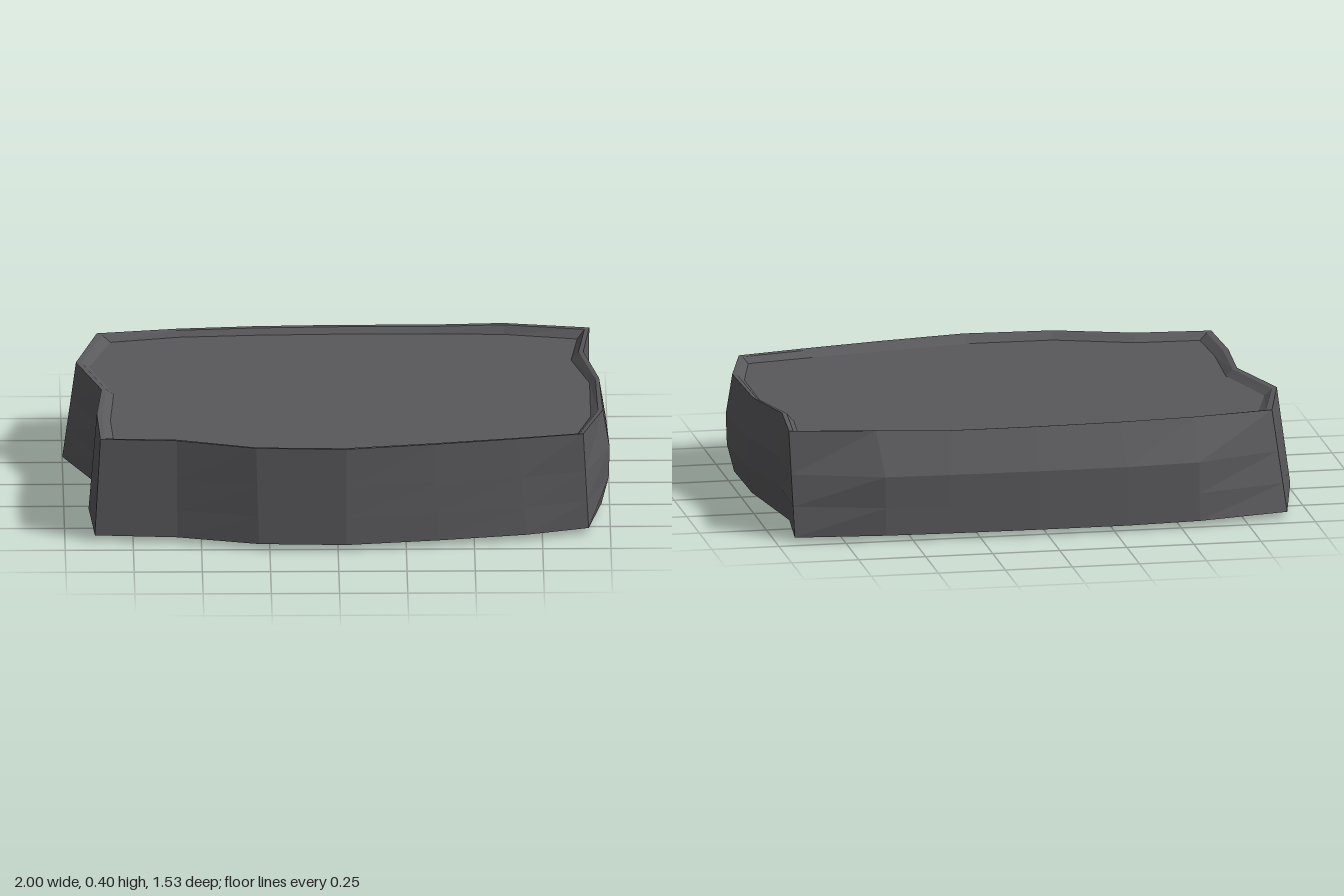
import * as THREE from 'three';

// Outlines as [x, z], counter-clockwise from above, starting at the front right corner of the model.
const base = [
  [-0.89, 0.645], [-0.59, 0.67], [-0.29, 0.75], [0.03, 0.765], [0.37, 0.715], [0.69, 0.655], [0.92, 0.58],
  [0.97, 0.3], [0.96, 0], [0.89, -0.37],
  [0.93, -0.69], [0.6, -0.75], [0.36, -0.76], [0.03, -0.765], [-0.3, -0.765], [-0.57, -0.745], [-0.91, -0.67],
  [-1, -0.25], [-0.88, 0.05], [-0.91, 0.34],
];
const rim = [
  [-0.87, 0.625], [-0.59, 0.645], [-0.3, 0.735], [0.03, 0.75], [0.36, 0.695], [0.66, 0.635], [0.9, 0.58],
  [0.975, 0.31], [0.965, -0.05], [0.91, -0.33],
  [0.935, -0.6], [0.62, -0.655], [0.34, -0.665], [0.03, -0.667], [-0.29, -0.655], [-0.57, -0.63], [-0.87, -0.58],
  [-0.95, -0.25], [-0.86, 0.06], [-0.88, 0.34],
];
const inner = [
  [-0.82, 0.585], [-0.58, 0.595], [-0.29, 0.69], [0.03, 0.695], [0.35, 0.643], [0.63, 0.595], [0.87, 0.55],
  [0.93, 0.31], [0.93, -0.07], [0.865, -0.33],
  [0.89, -0.57], [0.62, -0.625], [0.34, -0.634], [0.03, -0.635], [-0.29, -0.625], [-0.57, -0.605], [-0.82, -0.55],
  [-0.9, -0.27], [-0.815, 0.04], [-0.83, 0.34],
];
const N = base.length;
const isBack = (i) => i > 10 && i < 16;
const isRight = (i) => i > 6 && i < 10;

// One ring blended between two outlines, with height given per corner
function ring(a, b, t, height, bulge = 0) {
  return a.map(([x, z], i) => {
    const k = typeof t === 'function' ? t(i) : t;
    return [x + (b[i][0] - x) * k + (isRight(i) ? bulge : 0), height(i), z + (b[i][1] - z) * k];
  });
}

// Flat-shaded skin through successive rings
function skin(rings) {
  const p = [];
  for (let r = 0; r + 1 < rings.length; r++) {
    for (let i = 0; i < N; i++) {
      const j = (i + 1) % N, lo = rings[r], hi = rings[r + 1];
      p.push(...lo[i], ...lo[j], ...hi[j], ...lo[i], ...hi[j], ...hi[i]);
    }
  }
  return p;
}

// Fan closing a ring from its middle
function cap(r, y, up) {
  const p = [];
  for (let i = 0; i < N; i++) {
    const a = r[i], b = r[(i + 1) % N];
    p.push(0, y, 0, ...(up ? a : b), ...(up ? b : a));
  }
  return p;
}

export function createModel() {
  const group = new THREE.Group();
  group.name = 'stoneSlab';
  const stone = new THREE.MeshStandardMaterial({ color: 0x59595c, flatShading: true });
  stone.name = 'dark grey stone';

  const add = (name, positions) => {
    const g = new THREE.BufferGeometry();
    g.setAttribute('position', new THREE.Float32BufferAttribute(positions, 3));
    g.computeVertexNormals();
    const mesh = new THREE.Mesh(g, stone);
    mesh.name = name;
    group.add(mesh);
  };

  const topY = (i) => (i > 8 && i < 12 ? 0.396 : 0.387);
  const bottom = ring(base, rim, 0, (i) => (i === 9 ? 0 : i === 8 || i === 10 ? 0.015 : 0.022));
  // The back stays upright until halfway, then bevels in to the rim
  const low = ring(base, rim, (i) => (isBack(i) ? 0.05 : 0.28), () => 0.125, 0.025);
  const mid = ring(base, rim, (i) => (isBack(i) ? 0.1 : 0.6), () => 0.24, 0.027);
  const top = ring(base, rim, 1, topY);
  const lip = ring(rim, inner, 0.4, (i) => topY(i) - 0.003);
  const floor = ring(inner, inner, 0, () => 0.362);

  add('sides', skin([bottom, low, mid, top]));
  add('rim', skin([top, lip, floor]));
  add('recessedTop', cap(floor, 0.362, true));
  add('underside', cap(bottom, 0.022, false));
  return group;
}
